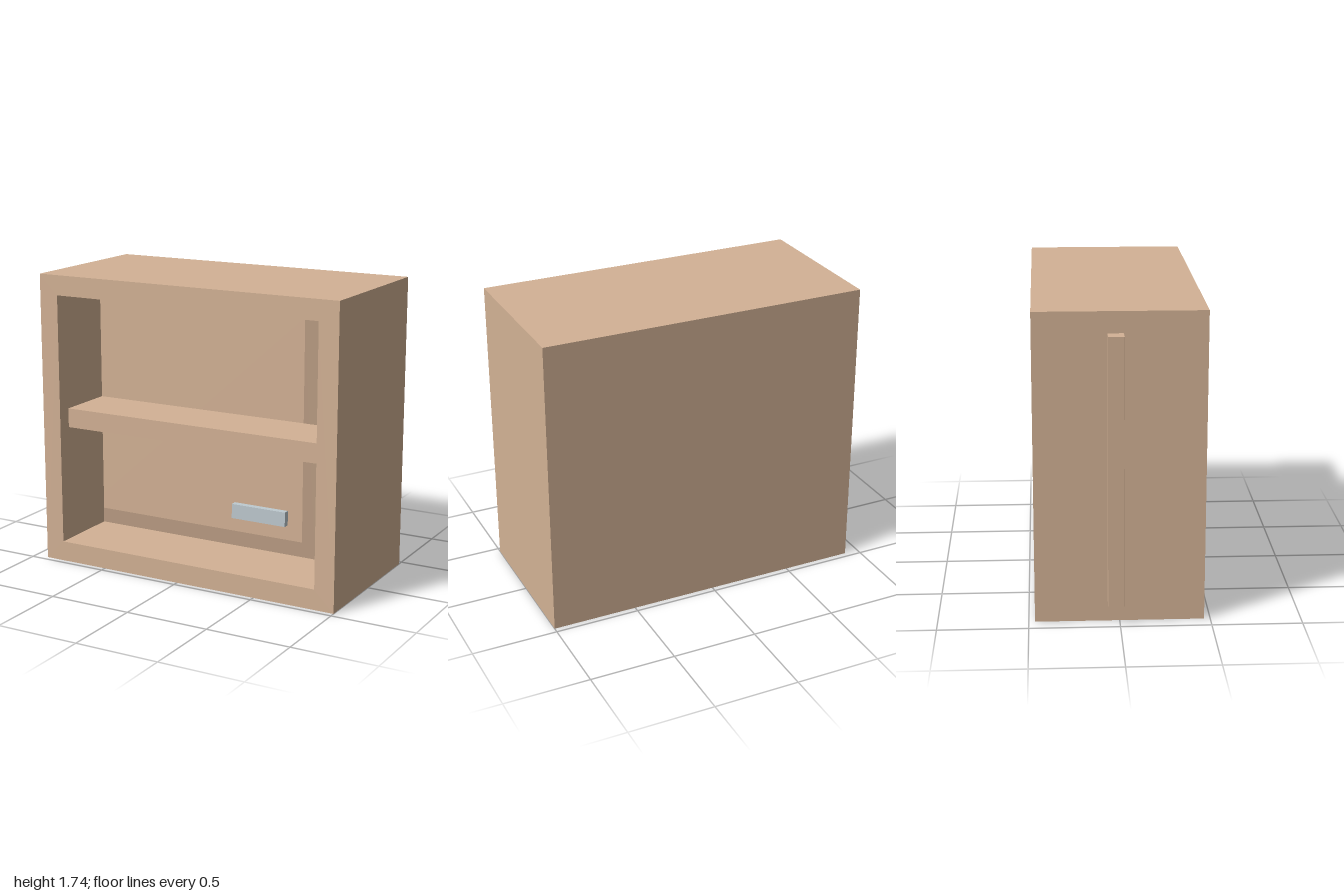
import * as THREE from 'three';

export function createModel() {
  const group = new THREE.Group();
  group.name = 'cabinet';
  const wood = new THREE.MeshStandardMaterial({ color: 0xd3b295 });
  const darkWood = new THREE.MeshStandardMaterial({ color: 0xba9c83 });
  const metal = new THREE.MeshStandardMaterial({ color: 0xbfcad0 });

  const add = (name, geometry, material) => {
    const mesh = new THREE.Mesh(geometry, material);
    mesh.name = name;
    group.add(mesh);
  };
  // Box given by its limits on each axis
  const box = (name, [x0, x1], [y0, y1], [z0, z1], material = wood) => {
    const g = new THREE.BoxGeometry(x1 - x0, y1 - y0, z1 - z0);
    g.translate((x0 + x1) / 2, (y0 + y1) / 2, (z0 + z1) / 2);
    add(name, g, material);
  };
  const rect = ([x0, x1], [y0, y1]) =>
    [[x0, y0], [x1, y0], [x1, y1], [x0, y1]].map(p => new THREE.Vector2(...p));
  // Rectangular frame between two depths
  const ring = (name, outer, inner, [z0, z1], material = wood) => {
    const shape = new THREE.Shape(rect(...outer));
    shape.holes.push(new THREE.Path(rect(...inner)));
    const g = new THREE.ExtrudeGeometry(shape, { depth: z1 - z0, bevelEnabled: false });
    g.translate(0, 0, z0);
    add(name, g, material);
  };

  const caseX = [-0.913, 1], caseY = [0, 1.738];
  const openX = [-0.795, 0.88], openY = [0.12, 1.62];
  const back = -0.466, front = 0.466, doorZ = [-0.067, 0.018];

  // Case, with a slot in one side wall for the sliding panel
  ring('frontCase', [caseX, caseY], [openX, openY], [doorZ[1], front]);
  ring('rearCase', [caseX, caseY], [openX, openY], [-0.35, doorZ[0]]);
  box('slotTop', caseX, [openY[1], caseY[1]], doorZ);
  box('slotBottom', caseX, [caseY[0], openY[0]], doorZ);
  box('slotSide', [openX[1], caseX[1]], openY, doorZ);
  box('backBoard', caseX, caseY, [back, -0.35]);

  // Shelf in front of the sliding panel
  box('shelf', openX, [0.813, 0.928], [doorZ[1], 0.38]);

  // Sliding panel with a darker border, pushed out through the slot
  const doorX = [-1, 0.67];
  box('slidingPanel', doorX, openY, doorZ);
  ring('panelBorder', [doorX, openY], [[-0.912, 0.585], [0.21, 1.53]],
    [doorZ[1] - 0.001, doorZ[1] + 0.002], darkWood);

  // Handle
  box('handle', [0.138, 0.49], [0.3, 0.388], [doorZ[1], 0.057], metal);

  return group;
}
